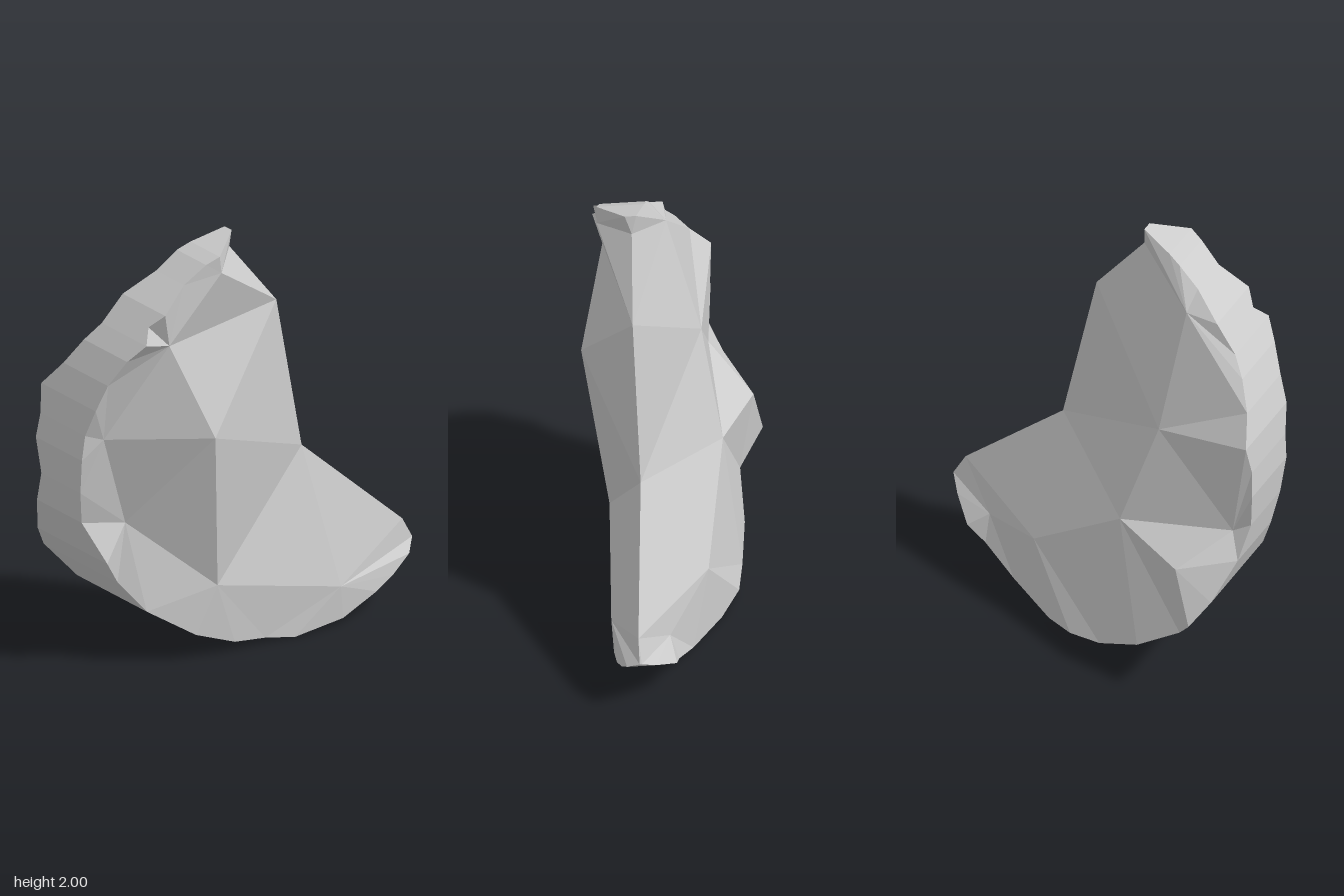
import * as THREE from 'three';

// Outer curved rim, top to tip: x, y, front z, back z
const RIM = [
  [-0.12, 2, 0.25, 0.2], [-0.27, 1.95, 0.36, 0.15], [-0.33, 1.92, 0.34, 0.13],
  [-0.43, 1.84, 0.31, 0.11], [-0.56, 1.74, 0.345, 0.04], [-0.61, 1.68, 0.29, 0.03],
  [-0.66, 1.62, 0.34, 0.02], [-0.72, 1.54, 0.28, -0.03], [-0.78, 1.42, 0.22, -0.1],
  [-0.825, 1.3, 0.19, -0.2], [-0.845, 1.17, 0.14, -0.18], [-0.855, 1.05, 0.13, -0.2],
  [-0.84, 0.88, 0.1, -0.18], [-0.81, 0.72, 0.07, -0.25], [-0.73, 0.53, 0.15, -0.35],
  [-0.65, 0.41, 0.12, -0.41], [-0.55, 0.27, 0.2, -0.3], [-0.34, 0.13, 0.28, -0.3],
  [-0.14, 0.05, 0.3, -0.27], [0.02, 0.03, 0.31, -0.24], [0.17, 0, 0.33, -0.15],
  [0.42, 0.03, 0.35, 0], [0.6, 0.11, 0.355, 0.08], [0.7, 0.16, 0.345, 0.1],
  [0.8, 0.23, 0.33, 0.2], [0.855, 0.28, 0.28, 0.27],
];

const V = (x, y, z) => new THREE.Vector3(x, y, z);

// Fills the strip between two chains of points, taking the shorter diagonal each step
function stitch(a, b) {
  const tris = [];
  let i = 0, j = 0;
  while (i < a.length - 1 || j < b.length - 1) {
    const da = i < a.length - 1 ? a[i + 1].distanceTo(b[j]) : Infinity;
    const db = j < b.length - 1 ? a[i].distanceTo(b[j + 1]) : Infinity;
    const tri = da <= db ? [a[i], b[j], a[++i]] : [a[i], b[j], b[++j]];
    if (new Set(tri).size === 3) tris.push(tri);
  }
  return tris;
}

// Flat-faceted mesh whose triangles are turned to face outward(centroid)
function facets(name, tris, outward, material) {
  const pts = [];
  for (const [a, b, c] of tris) {
    const n = b.clone().sub(a).cross(c.clone().sub(a));
    const mid = a.clone().add(b).add(c).divideScalar(3);
    pts.push(...(n.dot(outward(mid)) >= 0 ? [a, b, c] : [a, c, b]));
  }
  const geometry = new THREE.BufferGeometry().setFromPoints(pts);
  geometry.computeVertexNormals();
  const mesh = new THREE.Mesh(geometry, material);
  mesh.name = name;
  return mesh;
}

export function createModel() {
  const group = new THREE.Group();
  group.name = 'rockShard';
  const material = new THREE.MeshStandardMaterial({
    color: 0xcccccc, flatShading: true, side: THREE.DoubleSide,
  });

  const front = RIM.map(([x, y, f]) => V(x, y, f));
  const back = RIM.map(([x, y, , b]) => V(x, y, b));
  const last = RIM.length - 1;

  // Sharp broken edge on the inner side
  const edge = [V(-0.11, 1.91, 0.22), V(0.135, 1.595, 0.24), V(0.29, 0.85, 0.22), V(0.8, 0.38, 0.28)];

  // Front corners
  const brow = V(-0.26, 1.87, 0.36), shoulder = V(-0.51, 1.57, 0.31), ridge = V(-0.34, 1.12, 0.42);
  const flank = V(-0.75, 1.13, 0.15), hip = V(-0.6, 0.68, 0.11);
  const foot = V(-0.24, 0.35, 0.305), toe = V(0.4, 0.19, 0.36);
  const frontTris = [
    ...stitch(front, [brow, shoulder, flank, hip, foot, toe]),
    ...stitch([shoulder, flank, hip, foot], [shoulder, ridge, foot]),
    ...stitch([front[0], brow, shoulder, ridge, foot, toe, front[last]], edge),
  ];

  // Back corners
  const nape = V(-0.41, 1.75, 0.04), spine = V(-0.35, 1.19, -0.11), loin = V(-0.2, 0.7, -0.19);
  const side = V(-0.75, 0.82, -0.18), bulge = V(-0.56, 0.66, -0.36);
  const heel = V(0.28, 0.35, -0.08), notch = V(0.6, 0.24, 0.12);
  const backTris = [
    ...stitch(back, [nape, spine, side, bulge, loin, heel, notch]),
    ...stitch([spine, side, bulge, loin], [spine, loin]),
    ...stitch([back[0], nape, spine, loin, heel, notch, back[last]], edge),
  ];

  // Curved wall joining front and back, with its two end wedges
  const rimTris = [[front[0], back[0], edge[0]], [front[last], back[last], edge[3]]];
  for (let i = 0; i < last; i++) {
    rimTris.push([front[i], back[i], front[i + 1]], [front[i + 1], back[i], back[i + 1]]);
  }

  group.add(
    facets('frontFace', frontTris, () => V(0, 0, 1), material),
    facets('backFace', backTris, () => V(0, 0, -1), material),
    facets('outerRim', rimTris, (m) => V(m.x, m.y - 0.9, 0), material),
  );
  return group;
}
